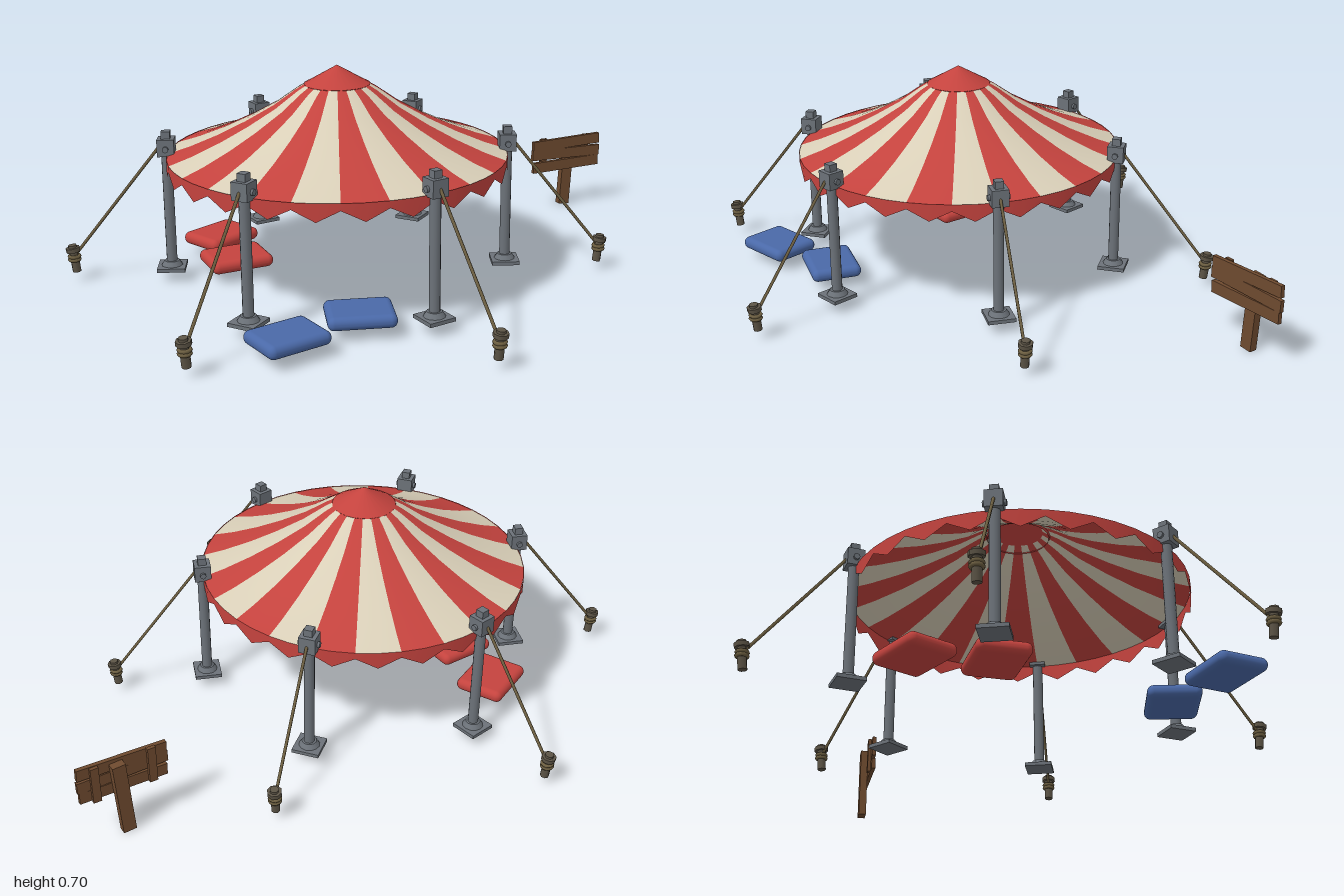
import * as THREE from 'three';
import { mergeGeometries } from 'three/addons/utils/BufferGeometryUtils.js';
import { RoundedBoxGeometry } from 'three/addons/geometries/RoundedBoxGeometry.js';

const mat = (color, opts = {}) => new THREE.MeshStandardMaterial({ color, ...opts });
const V = (x, y, z) => new THREE.Vector3(x, y, z);

function add(parent, name, geometry, material, x = 0, y = 0, z = 0) {
  const mesh = new THREE.Mesh(geometry, material);
  mesh.name = name;
  mesh.position.set(x, y, z);
  parent.add(mesh);
  return mesh;
}

// Cylinder running between two points
function strut(parent, name, a, b, radius, material, sides = 8) {
  const dir = b.clone().sub(a);
  const mesh = add(parent, name, new THREE.CylinderGeometry(radius, radius, dir.length(), sides), material);
  mesh.position.copy(a).add(b).multiplyScalar(0.5);
  mesh.quaternion.setFromUnitVectors(V(0, 1, 0), dir.normalize());
  return mesh;
}

// Zigzag cloth band hanging from the canopy rim
function valanceGeometry(radius, teeth) {
  const pos = [], index = [], n = teeth * 2;
  for (let i = 0; i <= n; i++) {
    const a = (i / n) * Math.PI * 2, s = Math.sin(a), c = Math.cos(a);
    pos.push(s * radius, 0.422, c * radius);
    pos.push(s * radius, i % 2 ? 0.365 : 0.4, c * radius);
    if (i < n) {
      const k = i * 2;
      index.push(k, k + 1, k + 2, k + 1, k + 3, k + 2);
    }
  }
  const g = new THREE.BufferGeometry();
  g.setAttribute('position', new THREE.Float32BufferAttribute(pos, 3));
  g.setIndex(index);
  g.computeVertexNormals();
  return g;
}

export function createModel() {
  const red = mat(0xc4433e, { side: THREE.DoubleSide });
  const cream = mat(0xd9cfb8, { side: THREE.DoubleSide });
  const metal = mat(0x6c7279);
  const ropeMat = mat(0x6e6042);
  const pegMat = mat(0x5c5446);
  const wood = mat(0x6e4a2f);
  const blue = mat(0x4a69a8);
  const cushionRed = mat(0xc4433e);

  const model = new THREE.Group();
  model.name = 'tentCamp';
  const tent = new THREE.Group();
  tent.name = 'tent';
  tent.position.x = -0.235;
  model.add(tent);

  // Striped canopy: 24 wedges of one sagging profile
  const profile = [[0.54, 0.42], [0.47, 0.443], [0.38, 0.48], [0.29, 0.524], [0.2, 0.575], [0.13, 0.625], [0.08, 0.655]]
    .map(([r, y]) => new THREE.Vector2(r, y));
  const step = Math.PI / 12;
  const wedges = [[], []];
  for (let i = 0; i < 24; i++) wedges[i % 2].push(new THREE.LatheGeometry(profile, 2, i * step, step));
  add(tent, 'redStripes', mergeGeometries(wedges[0]), red);
  add(tent, 'creamStripes', mergeGeometries(wedges[1]), cream);
  add(tent, 'valance', valanceGeometry(0.541, 24), red);

  // Peak cap with its rim
  add(tent, 'peakCap', new THREE.ConeGeometry(0.105, 0.06, 24, 1, true), red, 0, 0.672, 0);
  add(tent, 'capRim', new THREE.CylinderGeometry(0.105, 0.1, 0.008, 24, 1, true), red, 0, 0.639, 0);

  // Six poles, each with a foot, head bracket, guy rope and peg
  for (let i = 0; i < 6; i++) {
    const unit = new THREE.Group();
    unit.name = 'poleUnit';
    unit.rotation.y = (i * Math.PI) / 3;
    tent.add(unit);
    const r = 0.543;
    add(unit, 'footPlate', new THREE.BoxGeometry(0.09, 0.012, 0.09), metal, 0, 0.041, r);
    add(unit, 'footCollar', new THREE.CylinderGeometry(0.024, 0.034, 0.016, 12), metal, 0, 0.055, r);
    add(unit, 'pole', new THREE.CylinderGeometry(0.017, 0.017, 0.38, 12), metal, 0, 0.235, r);
    add(unit, 'headBracket', new THREE.BoxGeometry(0.054, 0.055, 0.054), metal, 0, 0.445, r);
    add(unit, 'bracketBolt', new THREE.CylinderGeometry(0.01, 0.01, 0.07, 8), metal, 0, 0.442, r).rotation.z = Math.PI / 2;
    add(unit, 'headPin', new THREE.BoxGeometry(0.028, 0.024, 0.028), metal, 0, 0.484, r);
    strut(unit, 'guyRope', V(0, 0.448, r + 0.02), V(0, 0.085, 0.853), 0.005, ropeMat, 6);
    strut(unit, 'peg', V(0, 0.03, 0.85), V(0, 0.12, 0.86), 0.014, pegMat);
    strut(unit, 'pegHead', V(0, 0.098, 0.857), V(0, 0.112, 0.859), 0.023, pegMat);
    for (const y of [0.072, 0.083]) {
      const knot = add(unit, 'ropeKnot', new THREE.TorusGeometry(0.016, 0.006, 6, 12), ropeMat, 0, y, 0.855);
      knot.rotation.x = Math.PI / 2;
    }
  }

  // Floor cushions: x, z, turn, material
  const cushions = [
    [-0.678, 0.457, 0.05, blue],
    [-0.42, 0.427, -0.43, blue],
    [-0.46, -0.415, 0.28, cushionRed],
    [-0.515, -0.19, -0.12, cushionRed],
  ];
  for (const [x, z, turn, material] of cushions) {
    add(model, 'cushion', new RoundedBoxGeometry(0.205, 0.042, 0.165, 4, 0.02), material, x, 0.056, z).rotation.y = turn;
  }

  // Wooden signpost: three planks, two battens and a leaning post
  const sign = new THREE.Group();
  sign.name = 'signpost';
  sign.position.set(0.857, 0, -0.155);
  sign.rotation.y = -0.17;
  model.add(sign);
  [[0.163, 0.28, 0.02], [0.207, 0.288, -0.02], [0.247, 0.284, 0.03]].forEach(([y, w, tilt]) => {
    add(sign, 'plank', new THREE.BoxGeometry(w, 0.039, 0.014), wood, 0, y, 0).rotation.z = tilt;
  });
  for (const x of [-0.09, 0.09]) {
    add(sign, 'batten', new THREE.BoxGeometry(0.026, 0.125, 0.012), wood, x, 0.204, -0.012);
  }
  const post = add(sign, 'post', new THREE.BoxGeometry(0.042, 0.255, 0.026), wood, 0.013, 0.128, -0.02);
  post.rotation.z = -0.06;

  return model;
}
